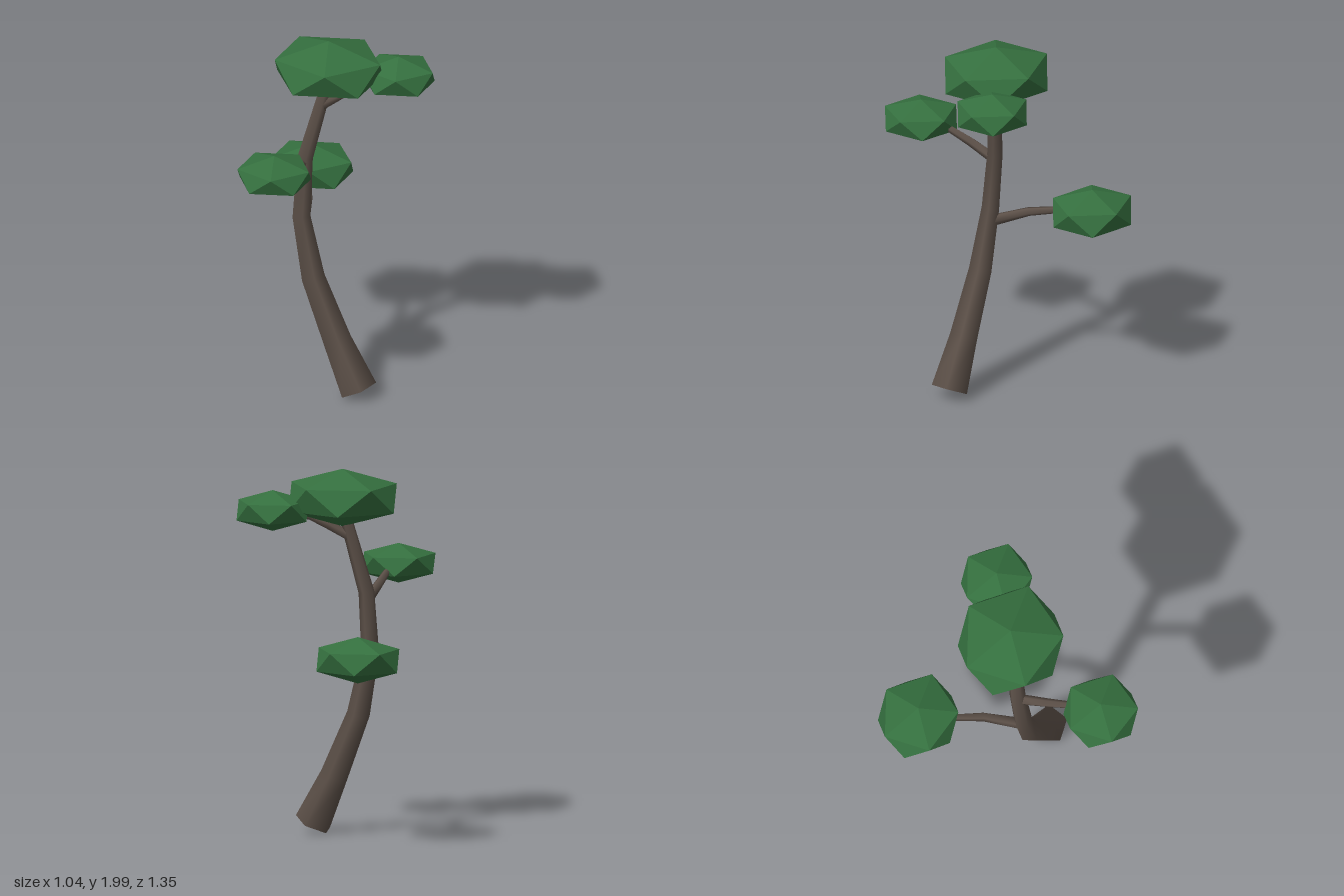
import * as THREE from 'three';
import { ConvexGeometry } from 'three/addons/geometries/ConvexGeometry.js';

const SIDES = 5;

// Tapered five-sided limb: each station is [x, y, z, radius], rings square to the path
function limbGeometry(stations) {
  const pts = stations.map(([x, y, z]) => new THREE.Vector3(x, y, z));
  const pos = [], idx = [];
  const last = pts.length - 1;
  const ring = (i) => {
    const t = pts[Math.min(i + 1, last)].clone().sub(pts[Math.max(i - 1, 0)]).normalize();
    const u = new THREE.Vector3(1, 0, 0).addScaledVector(t, -t.x).normalize();
    const v = new THREE.Vector3().crossVectors(u, t);
    for (let k = 0; k < SIDES; k++) {
      const a = -0.28 + (k / SIDES) * Math.PI * 2;
      const p = pts[i].clone()
        .addScaledVector(u, Math.cos(a) * stations[i][3])
        .addScaledVector(v, Math.sin(a) * stations[i][3]);
      pos.push(p.x, p.y, p.z);
    }
  };
  for (let i = 0; i <= last; i++) ring(i);
  for (let i = 0; i < last; i++) {
    for (let k = 0; k < SIDES; k++) {
      const a = i * SIDES + k, b = i * SIDES + (k + 1) % SIDES;
      idx.push(a, a + SIDES, b, b, a + SIDES, b + SIDES);
    }
  }
  // End caps on their own rings, for crisp rims
  for (const end of [0, last]) {
    const s = pos.length / 3;
    ring(end);
    for (let k = 1; k < SIDES - 1; k++) {
      if (end === 0) idx.push(s, s + k, s + k + 1);
      else idx.push(s, s + k + 1, s + k);
    }
  }
  const g = new THREE.BufferGeometry();
  g.setAttribute('position', new THREE.Float32BufferAttribute(pos, 3));
  g.setIndex(idx);
  g.computeVertexNormals();
  return g;
}

// Flattened icosahedron: two tips and two staggered rings of five
function foliageGeometry(rx, h, rz) {
  const pts = [new THREE.Vector3(0, h, 0), new THREE.Vector3(0, -h, 0)];
  for (let k = 0; k < 10; k++) {
    const a = (k / 10) * Math.PI * 2;
    const y = (k % 2 ? -1 : 1) * h * 0.447;
    pts.push(new THREE.Vector3(rx * Math.cos(a), y, rz * Math.sin(a)));
  }
  return new ConvexGeometry(pts);
}

export function createModel() {
  const tree = new THREE.Group();
  tree.name = 'tree';
  const bark = new THREE.MeshStandardMaterial({ color: 0x5c5048 });
  const leaf = new THREE.MeshStandardMaterial({ color: 0x35703f, flatShading: true });
  const add = (name, geometry, material) => {
    const mesh = new THREE.Mesh(geometry, material);
    mesh.name = name;
    tree.add(mesh);
    return mesh;
  };

  // Leaning trunk and the branches that carry the side foliage
  const limbs = {
    trunk: [
      [0.228, 0.055, 0.085, 0.105], [0.1, 0.32, 0.08, 0.08], [-0.045, 0.66, 0.07, 0.066],
      [-0.12, 1.0, 0.055, 0.051], [-0.113, 1.33, 0.022, 0.045], [-0.03, 1.68, -0.03, 0.036],
      [0, 1.8, -0.045, 0.03],
    ],
    frontBranch: [
      [-0.115, 1.29, 0.03, 0.03], [-0.11, 1.355, 0.18, 0.025],
      [-0.1, 1.405, 0.31, 0.02], [-0.09, 1.42, 0.42, 0.018],
    ],
    backBranch: [
      [-0.115, 0.93, 0.04, 0.032], [-0.17, 1.005, -0.15, 0.025],
      [-0.225, 1.025, -0.28, 0.02], [-0.27, 1.03, -0.4, 0.018],
    ],
    topBranch: [
      [-0.04, 1.63, -0.02, 0.03], [0.06, 1.69, -0.075, 0.024],
      [0.15, 1.745, -0.13, 0.02], [0.27, 1.77, -0.21, 0.018],
    ],
  };
  for (const [name, stations] of Object.entries(limbs)) add(name, limbGeometry(stations), bark);

  // Foliage clumps: centre, then half-sizes
  const clumps = {
    crownFoliage: [-0.005, 1.845, -0.052, 0.3, 0.155, 0.28],
    frontFoliage: [-0.0875, 1.428, 0.483, 0.202, 0.107, 0.199],
    backFoliage: [-0.29, 1.04, -0.477, 0.23, 0.125, 0.213],
    topFoliage: [0.32, 1.78, -0.24, 0.199, 0.11, 0.19],
  };
  for (const [name, [x, y, z, rx, h, rz]] of Object.entries(clumps)) {
    add(name, foliageGeometry(rx, h, rz), leaf).position.set(x, y, z);
  }
  return tree;
}
